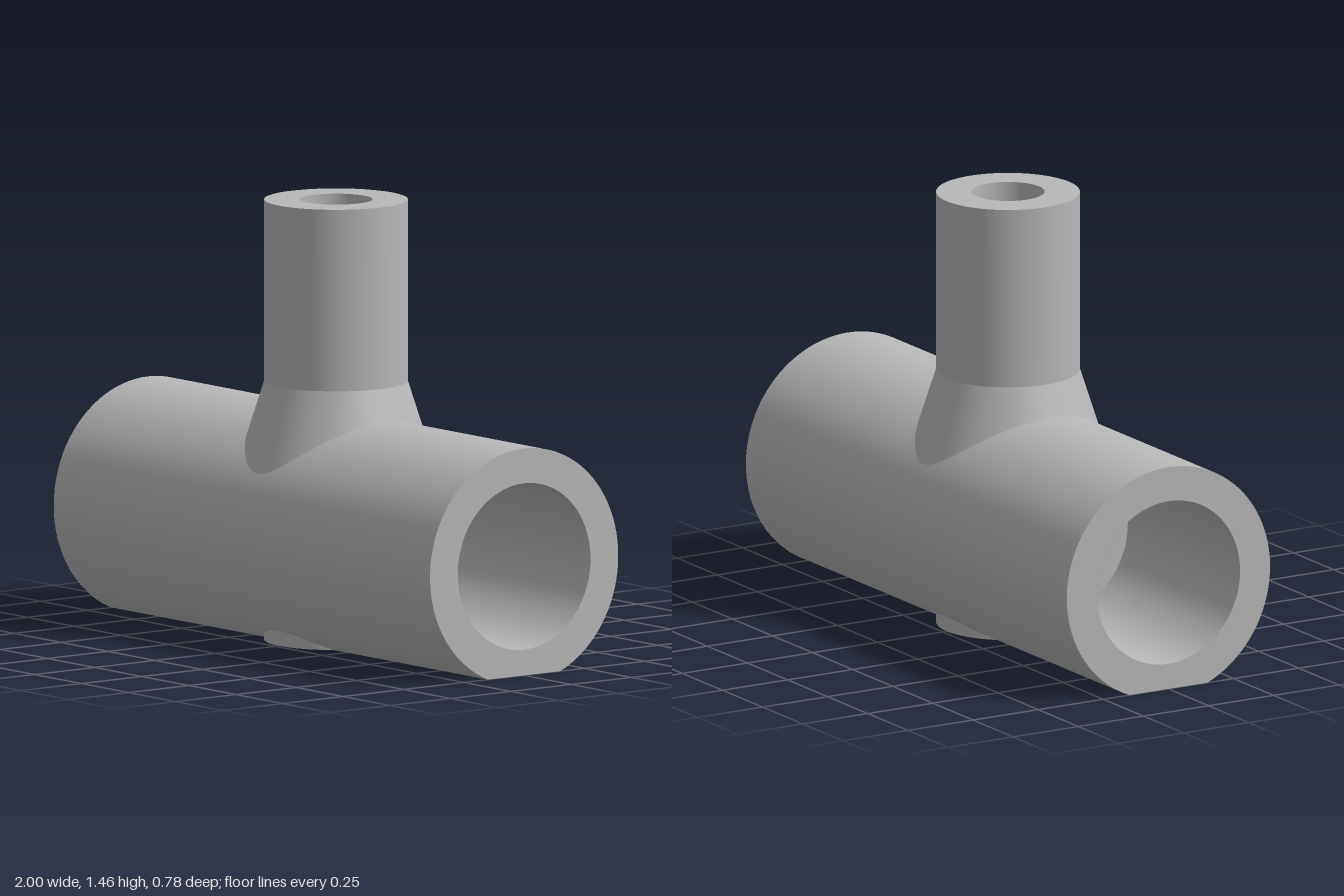
import * as THREE from 'three';

const AXIS = 0.36, R = 0.39;          // main pipe axis height and outer radius
const SOCKET = 0.275, BORE = 0.15;    // main socket and inner bore radii
const STEP = 0.3;                     // socket shoulder at x = +-STEP
const BR = 0.235, TOP = 1.455;        // branch radius and height
const NECK = 0.855, SLOPE = 0.32;     // start and slope of the branch flare
const B_SOCKET = 0.12, B_BORE = 0.088, B_STEP = 0.75;
const SEG = 256;

// Closed surface strip: point(i / rows, angle), wrapped around the angle
function loft(rows, point) {
  const pos = [], idx = [];
  for (let i = 0; i <= rows; i++)
    for (let j = 0; j < SEG; j++) pos.push(...point(i / rows, (j / SEG) * Math.PI * 2));
  for (let i = 0; i < rows; i++)
    for (let j = 0; j < SEG; j++) {
      const k = (j + 1) % SEG, a = i * SEG + j, b = i * SEG + k, c = a + SEG, d = b + SEG;
      idx.push(a, b, c, b, d, c);
    }
  const g = new THREE.BufferGeometry();
  g.setAttribute('position', new THREE.Float32BufferAttribute(pos, 3));
  g.setIndex(idx);
  g.computeVertexNormals();
  return g;
}

// Horizontal cylinder skin (angle up to +-spread from the top) with a hole around the branch
function skin(radius, half, spread, hole) {
  return loft(32, (t, a) => {
    const c = Math.cos(a), s = Math.sin(a), m = Math.max(Math.abs(c), Math.abs(s));
    const r = hole(a);
    const x = THREE.MathUtils.lerp(r * c, (half * c) / m, t);
    const th = THREE.MathUtils.lerp(Math.asin((r * s) / radius), (spread * s) / m, t);
    return [x, AXIS + radius * Math.cos(th), radius * Math.sin(th)];
  });
}

// Height of a horizontal cylinder above its axis at depth z
const rise = (radius, z) => Math.sqrt(radius * radius - z * z);

// Radius at which the flare meets the main pipe
function flareRadius(a) {
  let r = BR;
  for (let i = 0; i < 40; i++) r = BR + (NECK - AXIS - rise(R, r * Math.sin(a))) * SLOPE;
  return r;
}

// Vertical wall between two radius/height rules
function wall(low, high) {
  return loft(1, (t, a) => {
    const [r0, y0] = low(a), [r1, y1] = high(a);
    const r = r0 + (r1 - r0) * t;
    return [r * Math.cos(a), y0 + (y1 - y0) * t, r * Math.sin(a)];
  });
}

export function createModel() {
  const model = new THREE.Group();
  model.name = 'teeFitting';
  const grey = new THREE.MeshStandardMaterial({ color: 0xb8b8b8, side: THREE.DoubleSide });
  grey.name = 'grey';
  const add = (name, geometry) => {
    const mesh = new THREE.Mesh(geometry, grey);
    mesh.name = name;
    model.add(mesh);
    return mesh;
  };

  // Main pipe with a flat foot
  const flat = rise(R, AXIS);
  add('mainPipe', skin(R, 1, Math.acos(-AXIS / R), flareRadius));
  add('flatFoot', new THREE.PlaneGeometry(2, flat * 2).rotateX(Math.PI / 2));
  add('innerBore', skin(BORE, STEP, Math.PI, () => B_BORE));

  // Pipe ends, sockets and shoulders
  const face = new THREE.Shape();
  const start = Math.atan2(-AXIS, flat);
  face.absarc(0, 0, R, start, Math.PI - start, false);
  face.closePath();
  face.holes.push(new THREE.Path().absarc(0, 0, SOCKET, 0, Math.PI * 2, true));
  for (const side of [1, -1]) {
    const label = side > 0 ? 'left' : 'right', turn = (side * Math.PI) / 2;
    add(label + 'EndFace', new THREE.ShapeGeometry(face, 64).rotateY(turn)).position.set(side, AXIS, 0);
    add(label + 'Socket', new THREE.CylinderGeometry(SOCKET, SOCKET, 1 - STEP, 96, 1, true).rotateZ(Math.PI / 2))
      .position.set((side * (1 + STEP)) / 2, AXIS, 0);
    add(label + 'Shoulder', new THREE.RingGeometry(BORE, SOCKET, 96).rotateY(turn))
      .position.set(side * STEP, AXIS, 0);
  }

  // Branch pipe and its flared neck
  add('branchPipe', wall(() => [BR, NECK], () => [BR, TOP]));
  add('branchFlare', wall(a => {
    const r = flareRadius(a);
    return [r, AXIS + rise(R, r * Math.sin(a))];
  }, () => [BR, NECK]));
  add('branchEndFace', new THREE.RingGeometry(B_SOCKET, BR, 96).rotateX(-Math.PI / 2)).position.y = TOP;
  add('branchSocket', wall(() => [B_SOCKET, B_STEP], () => [B_SOCKET, TOP]));
  add('branchShoulder', new THREE.RingGeometry(B_BORE, B_SOCKET, 96).rotateX(-Math.PI / 2)).position.y = B_STEP;
  add('branchBore', wall(a => [B_BORE, AXIS + rise(BORE, B_BORE * Math.sin(a))], () => [B_BORE, B_STEP]));

  // Round boss under the pipe
  add('bossWall', wall(() => [BR, 0], a => [BR, Math.max(0, AXIS - rise(R, BR * Math.sin(a)))]));
  add('bossFace', new THREE.CircleGeometry(BR, 96).rotateX(Math.PI / 2));

  return model;
}
